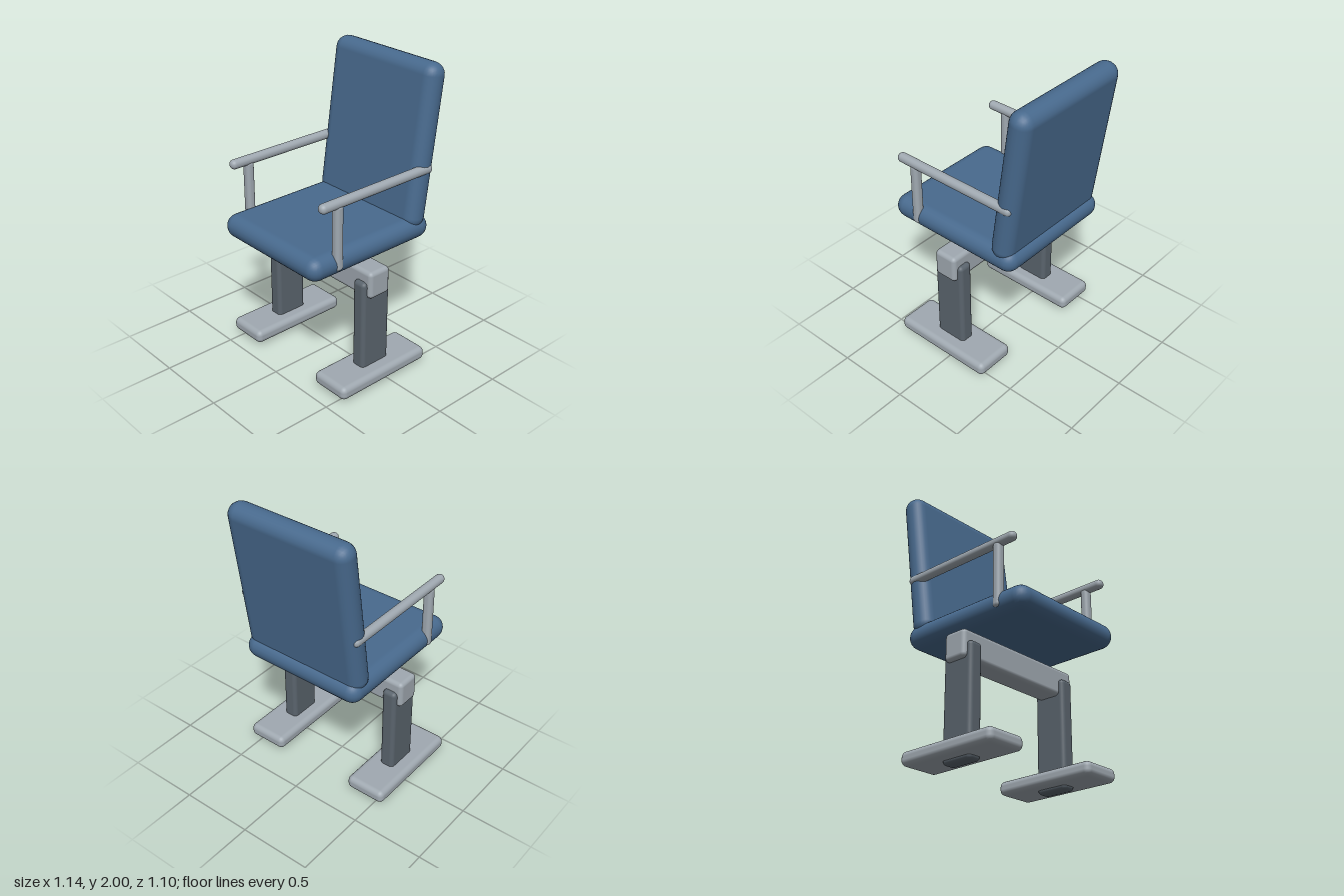
import * as THREE from 'three';
import { RoundedBoxGeometry } from 'three/addons/geometries/RoundedBoxGeometry.js';

export function createModel() {
  const chair = new THREE.Group();
  chair.name = 'armchair';

  const material = (name, color) => {
    const m = new THREE.MeshStandardMaterial({ color });
    m.name = name;
    return m;
  };
  const upholstery = material('blue upholstery', 0x486a8e);
  const lightMetal = material('light grey metal', 0xa0a9b1);
  const darkMetal = material('dark grey metal', 0x5a646d);

  // Adds a softly rounded box of the given size, centred at the given position
  const addBox = (name, mat, size, radius, position) => {
    const mesh = new THREE.Mesh(new RoundedBoxGeometry(...size, 3, radius), mat);
    mesh.name = name;
    mesh.position.set(...position);
    chair.add(mesh);
    return mesh;
  };

  // Cushions
  addBox('seat', upholstery, [0.9, 0.16, 1.0], 0.08, [0, 0.93, 0.05]);
  const backrest = addBox('backrest', upholstery, [0.9, 1.08, 0.16], 0.08, [0, 1.465, -0.406]);
  backrest.rotation.x = -THREE.MathUtils.degToRad(8);

  // Beam across the legs
  addBox('crossBeam', lightMetal, [1.0, 0.186, 0.168], 0.028, [0, 0.717, 0.05]);

  // Arms, legs and feet, mirrored left and right
  for (const [side, s] of [['left', 1], ['right', -1]]) {
    addBox(`${side}ArmRail`, lightMetal, [0.063, 0.063, 0.92], 0.03, [s * 0.425, 1.334, 0.02]);
    addBox(`${side}ArmPost`, lightMetal, [0.063, 0.44, 0.06], 0.025, [s * 0.425, 1.11, 0.34]);
    addBox(`${side}Leg`, darkMetal, [0.102, 0.735, 0.228], 0.028, [s * 0.42, 0.3675, 0.05]);
    addBox(`${side}Foot`, lightMetal, [0.284, 0.092, 0.73], 0.036, [s * 0.426, 0.072, 0.05]);
  }

  return chair;
}
